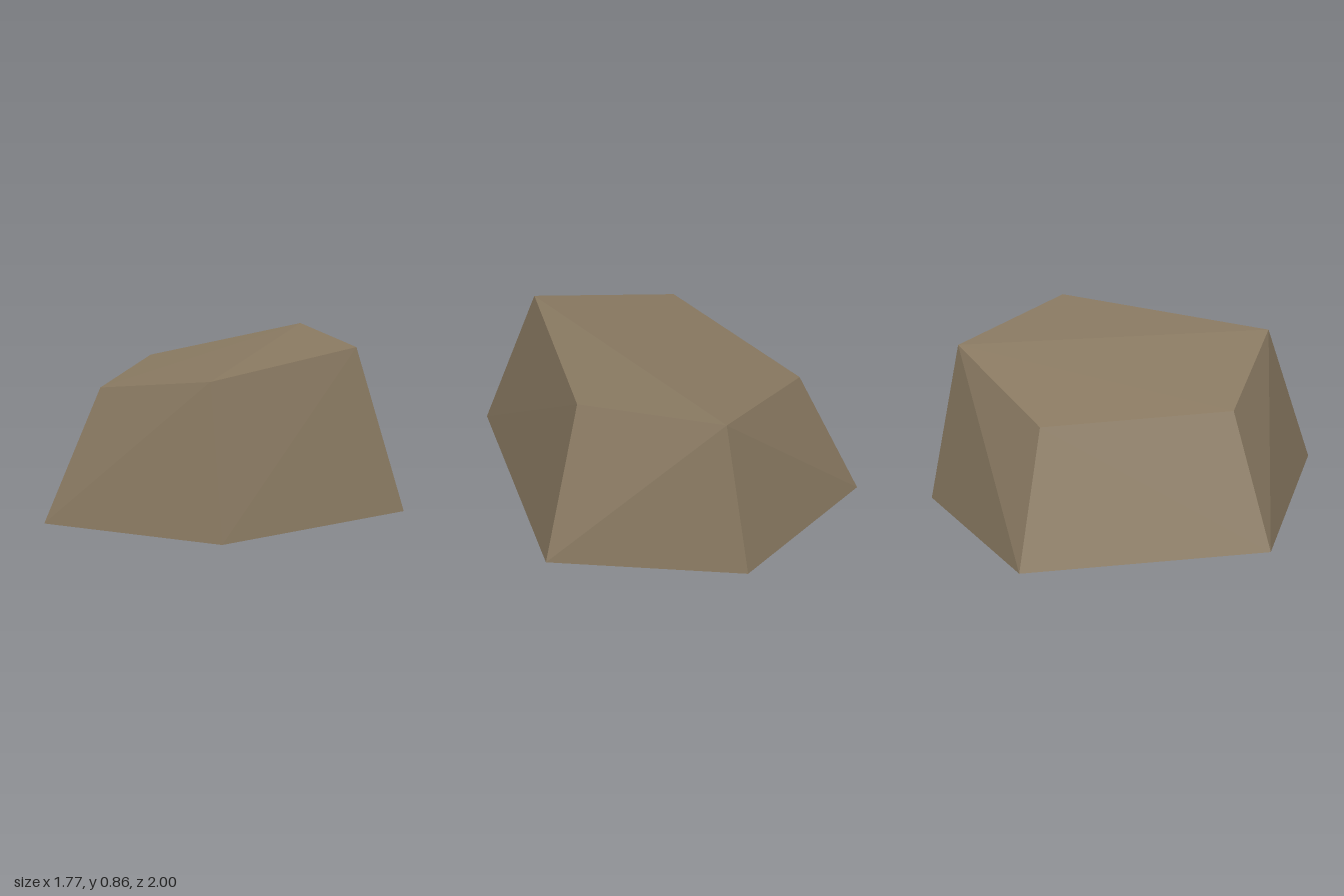
import * as THREE from 'three';
import { ConvexGeometry } from 'three/addons/geometries/ConvexGeometry.js';

export function createModel() {
  const group = new THREE.Group();
  group.name = 'rock';

  const stone = new THREE.MeshStandardMaterial({ color: 0x8a7a62 });
  stone.name = 'stone brown';

  // five-sided footprint, [x, z]
  const base = [[0.23, -1], [0.885, -0.18], [0.12, 1], [-0.89, 0.485], [-0.745, -0.83]];
  // smaller, sloping crown, [x, y, z]
  const crown = [
    [0.24, 0.855, -0.855], [0.64, 0.855, -0.165], [0.02, 0.81, 0.755],
    [-0.615, 0.70, 0.37], [-0.51, 0.705, -0.645],
  ];

  // faceted boulder wrapped around both outlines
  const points = [
    ...base.map(([x, z]) => new THREE.Vector3(x, 0, z)),
    ...crown.map((p) => new THREE.Vector3(...p)),
  ];
  const boulder = new THREE.Mesh(new ConvexGeometry(points), stone);
  boulder.name = 'boulder';
  group.add(boulder);
  return group;
}
